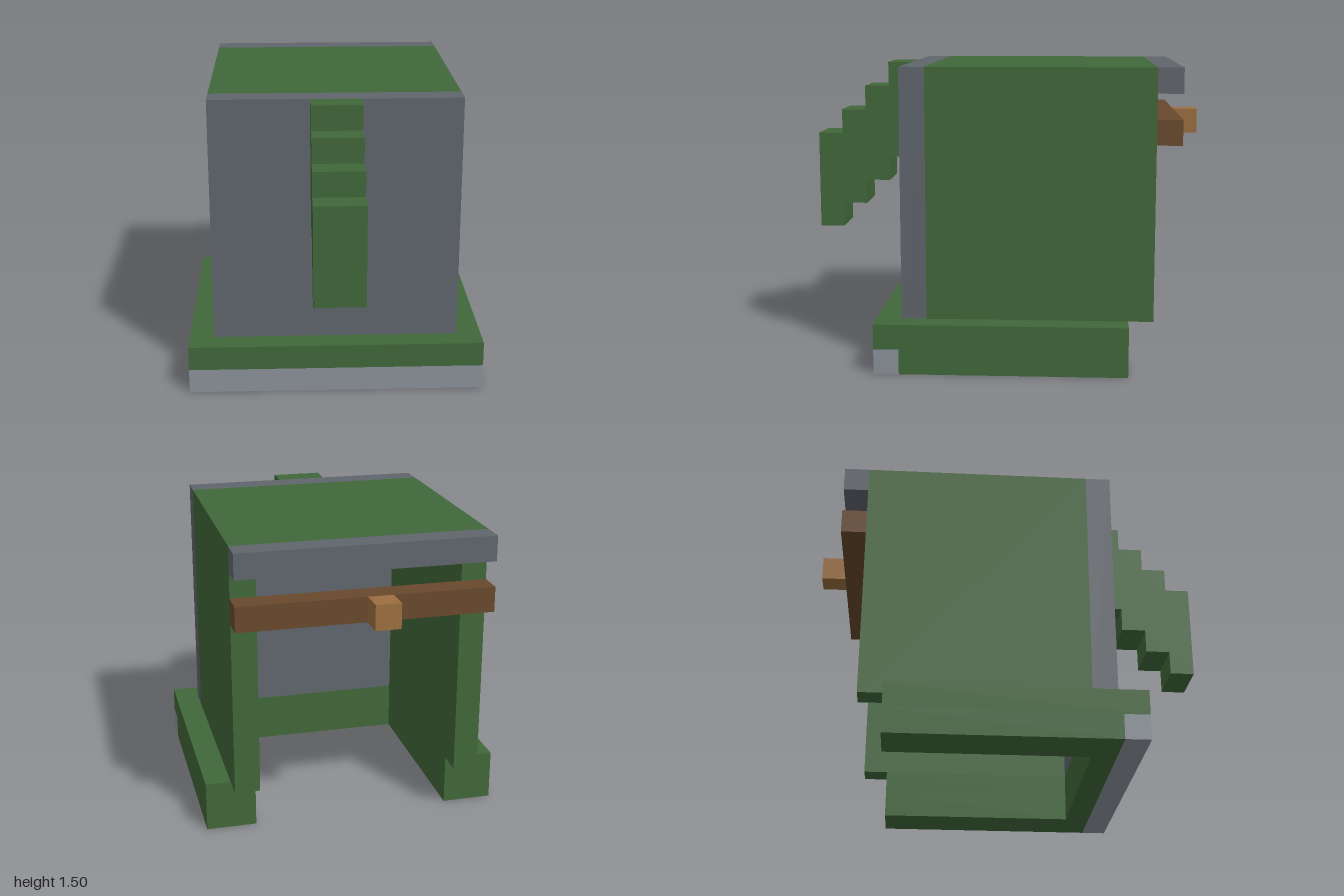
import * as THREE from 'three';

const U = 0.125; // one block

const material = (name, color) => {
  const m = new THREE.MeshStandardMaterial({ color });
  m.name = name;
  return m;
};

export function createModel() {
  const group = new THREE.Group();
  const green = material('green', 0x41673a);
  const slate = material('slate grey', 0x60656d);
  const pale = material('pale grey', 0x8b9299);
  const brown = material('dark brown', 0x68492c);
  const tan = material('light brown', 0x9b6e3f);

  const add = (name, geometry, mat) => {
    const mesh = new THREE.Mesh(geometry, mat);
    mesh.name = name;
    group.add(mesh);
    return mesh;
  };

  // Box between two corners, in blocks
  const box = (name, mat, [x0, y0, z0], [x1, y1, z1]) => {
    const g = new THREE.BoxGeometry((x1 - x0) * U, (y1 - y0) * U, (z1 - z0) * U);
    g.translate((x0 + x1) * U / 2, (y0 + y1) * U / 2, (z0 + z1) * U / 2);
    return add(name, g, mat);
  };

  // Outline in blocks, extruded along +z
  const extrude = (points, depth) => new THREE.ExtrudeGeometry(
    new THREE.Shape(points.map(([x, y]) => new THREE.Vector2(x * U, y * U))),
    { depth: depth * U, bevelEnabled: false });

  // Base rim, open at the back; its lower layer stops behind the front trim
  const rim = (name, front, y) => {
    const g = extrude([[-6, -front], [6, -front], [6, 5], [4, 5], [4, -3], [-4, -3], [-4, 5], [-6, 5]], 1);
    g.rotateX(-Math.PI / 2).translate(0, y * U, 0);
    add(name, g, green);
  };
  rim('lowerRim', 4, 0);
  rim('upperRim', 5, 1);
  box('frontTrim', pale, [-6, 0, 4], [6, 1, 5]);

  // Hollow shell: two side walls and the roof
  const shell = extrude([[-5, 2], [-4, 2], [-4, 11], [4, 11], [4, 2], [5, 2], [5, 12], [-5, 12]], 9);
  shell.translate(0, 0, -6 * U);
  add('shell', shell, green);
  box('frontWall', slate, [-5, 2, 3], [5, 12, 4]);
  box('backLintel', slate, [-5, 11, -7], [5, 12, -6]);

  // Strap across the back with its buckle
  box('strap', brown, [-5, 9, -7], [5, 10, -6]);
  box('buckle', tan, [-1, 9, -8], [0, 10, -7]);

  // Stepped snout: outline drawn as (z, y), then turned to face forward
  const top = [], bottom = [];
  for (let i = 0; i < 4; i++) {
    top.push([4 + i, 12 - i], [5 + i, 12 - i]);
    bottom.push([4 + i, 8 - i], [5 + i, 8 - i]);
  }
  const snout = extrude([...bottom, ...top.reverse()], 2);
  snout.rotateY(-Math.PI / 2).translate(U, 0, 0);
  add('snout', snout, green);

  return group;
}
